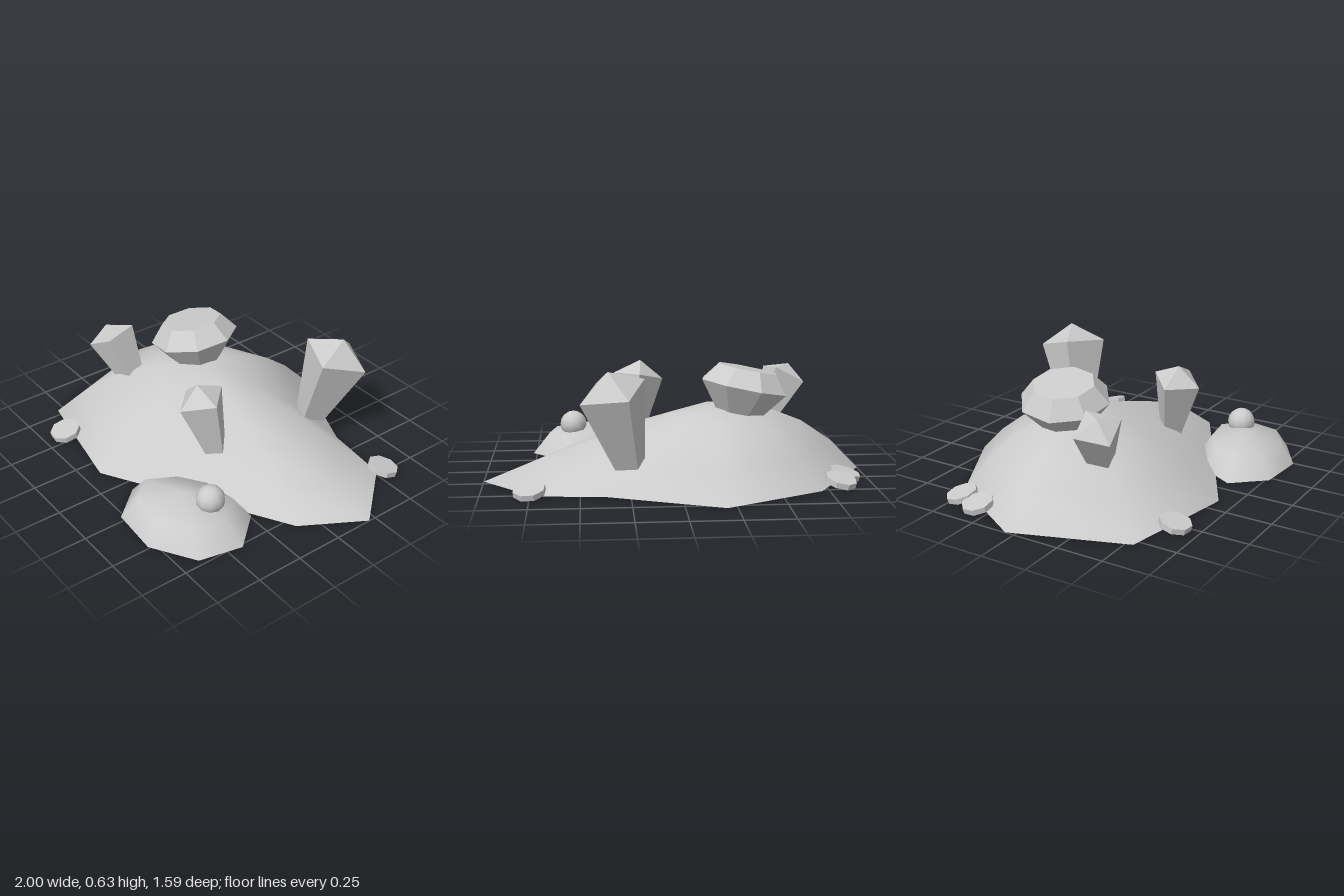
import * as THREE from 'three';

const flat = new THREE.MeshStandardMaterial({ color: 0xcccccc, flatShading: true });
const smooth = new THREE.MeshStandardMaterial({ color: 0xcccccc });

function add(parent, name, geometry, material = flat) {
  const mesh = new THREE.Mesh(geometry, material);
  mesh.name = name;
  parent.add(mesh);
  return mesh;
}

// Mound lofted from a ground outline [x, z] towards its peak.
// height(t, i) gives y at fraction t of the way out along spoke i.
function moundGeometry(outline, [px, py, pz], rings, height) {
  const pos = [px, py, pz];
  const idx = [];
  const n = outline.length;
  for (const t of rings) {
    outline.forEach(([x, z], i) => pos.push(px + (x - px) * t, height(t, i), pz + (z - pz) * t));
  }
  for (let r = 0; r < rings.length; r++) {
    for (let i = 0; i < n; i++) {
      const j = (i + 1) % n;
      const a = 1 + r * n + i, b = 1 + r * n + j;
      if (r === 0) idx.push(0, b, a);
      else idx.push(a - n, b - n, a, b - n, b, a);
    }
  }
  // flat underside with its own vertices
  const base = pos.length / 3;
  pos.push(px, 0, pz);
  outline.forEach(([x, z]) => pos.push(x, 0, z));
  for (let i = 0; i < n; i++) idx.push(base, base + 1 + i, base + 1 + (i + 1) % n);
  const g = new THREE.BufferGeometry();
  g.setAttribute('position', new THREE.Float32BufferAttribute(pos, 3));
  g.setIndex(idx);
  g.computeVertexNormals();
  return g;
}

// Four-sided crystal, widening from its foot to a shoulder, then pointed.
function crystal(name, foot, tip, footRadius, radius, twist) {
  const group = new THREE.Group();
  group.name = name;
  const a = new THREE.Vector3(...foot);
  const axis = new THREE.Vector3(...tip).sub(a);
  const length = axis.length();
  const body = length * 0.79, point = length - body;
  add(group, 'crystalBody', new THREE.CylinderGeometry(radius, footRadius, body, 4, 1)
    .rotateY(twist).translate(0, body / 2, 0));
  add(group, 'crystalPoint', new THREE.ConeGeometry(radius, point, 4, 1, true)
    .rotateY(twist).translate(0, body + point / 2, 0));
  group.position.copy(a);
  group.quaternion.setFromUnitVectors(new THREE.Vector3(0, 1, 0), axis.normalize());
  return group;
}

export function createModel() {
  const model = new THREE.Group();
  model.name = 'treasurePile';

  // large mound: the last number of each spoke sets how full its slope is
  const spokes = [
    [-1, -0.05, 2.6], [-0.71, -0.53, 2.4], [-0.2, -0.8, 2.2], [0.37, -0.56, 1.5], [0.73, -0.52, 1.3],
    [1, -0.21, 1.25], [0.81, 0.11, 1.4], [-0.15, 0.66, 2.1], [-0.79, 0.54, 2.4],
  ];
  add(model, 'largeMound', moundGeometry(spokes, [-0.2, 0.37, -0.1], [0.2, 0.4, 0.6, 0.8, 1],
    (t, i) => 0.37 * (1 - t ** spokes[i][2])), smooth);

  // small mound in front
  const smallOutline = [
    [0.07, 0.6], [0.18, 0.4], [0.36, 0.28], [0.61, 0.24], [0.77, 0.42], [0.72, 0.65], [0.49, 0.79], [0.22, 0.77],
  ];
  add(model, 'smallMound', moundGeometry(smallOutline, [0.42, 0.165, 0.52], [0.73, 1],
    t => (t < 1 ? 0.115 : 0)), smooth);

  // pearl
  add(model, 'pearl', new THREE.SphereGeometry(0.075, 10, 8), smooth).position.set(0.54, 0.165, 0.445);

  // pointed crystals
  model.add(
    crystal('leftCrystal', [0.22, 0.16, 0.17], [0.165, 0.56, 0.245], 0.065, 0.135, 0),
    crystal('rightCrystal', [-0.53, 0.26, 0.2], [-0.665, 0.53, 0.26], 0.075, 0.13, 1.0),
    crystal('backCrystal', [0.25, 0.14, -0.46], [0.36, 0.625, -0.57], 0.085, 0.18, 0.41),
  );

  // large cut gem with a flat top
  const gem = new THREE.Group();
  gem.name = 'cutGem';
  add(gem, 'gemCrown', new THREE.CylinderGeometry(0.165, 0.24, 0.095, 8, 1).translate(0, 0.0475, 0));
  add(gem, 'gemPavilion', new THREE.CylinderGeometry(0.24, 0.13, 0.14, 8, 1).translate(0, -0.07, 0));
  gem.children.forEach(part => part.geometry.rotateY(0.25));
  gem.position.set(-0.365, 0.47, -0.125);
  gem.rotation.set(0.06, 0, 0.2);
  model.add(gem);

  // coins around the edge, each leaning outwards: x, z, tilt about x, tilt about z
  const coins = [
    [-0.82, -0.455, -0.2, 0.2], [-0.87, -0.315, -0.1, 0.25],
    [0.75, -0.54, -0.25, -0.1], [-0.55, 0.63, 0.22, 0],
  ];
  for (const [x, z, rx, rz] of coins) {
    const coin = add(model, 'coin', new THREE.CylinderGeometry(0.083, 0.083, 0.03, 8).rotateY(0.3));
    coin.position.set(x, 0.035, z);
    coin.rotation.set(rx, 0, rz);
  }

  return model;
}
